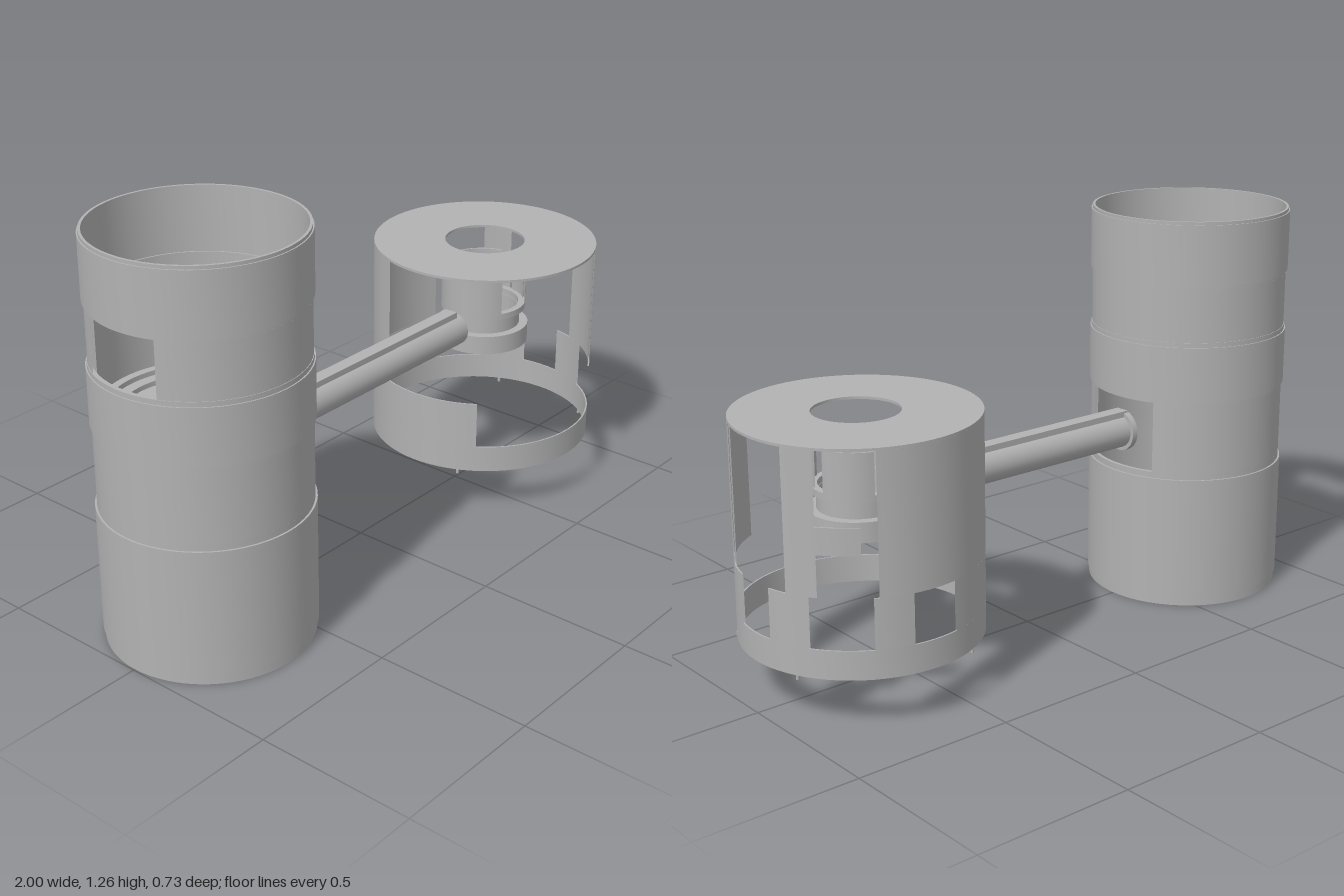
import * as THREE from 'three';
import { toCreasedNormals } from 'three/addons/utils/BufferGeometryUtils.js';

const grey = new THREE.MeshStandardMaterial({ color: 0xb2b2b2, side: THREE.DoubleSide });
grey.name = 'plain grey';
const RAD = Math.PI / 180;

export function createModel() {
  const model = new THREE.Group();

  const add = (parent, name, geometry, x = 0, y = 0, z = 0) => {
    const mesh = new THREE.Mesh(geometry, grey);
    mesh.name = name;
    mesh.position.set(x, y, z);
    parent.add(mesh);
    return mesh;
  };

  // Revolved profile; angles in degrees run from the front (+z) towards +x
  const turn = (parent, name, profile, from = 0, to = 360) => {
    const points = profile.map(([r, y]) => new THREE.Vector2(r, y));
    const segments = Math.max(4, Math.ceil((to - from) / 5));
    const geometry = new THREE.LatheGeometry(points, segments, from * RAD, (to - from) * RAD);
    return add(parent, name, toCreasedNormals(geometry, 0.5));
  };

  // Closed rectangular wall section between two radii
  const wall = (parent, name, inner, outer, y0, y1, from, to) =>
    turn(parent, name, [[inner, y0], [outer, y0], [outer, y1], [inner, y1], [inner, y0]], from, to);

  // Tall stacked canister
  const tower = new THREE.Group();
  tower.name = 'canister';
  tower.position.x = -0.683;
  model.add(tower);
  turn(tower, 'canisterBase', [[0, 0], [0.312, 0], [0.312, 0.03], [0.317, 0.03], [0.317, 0.43], [0.3, 0.43]]);
  wall(tower, 'lowerBand', 0.3, 0.311, 0.43, 0.45);
  wall(tower, 'lowerWindowBand', 0.3, 0.311, 0.45, 0.68, 116, 424);
  wall(tower, 'middleCollar', 0.3, 0.317, 0.69, 0.865);
  wall(tower, 'middleCollarLip', 0.3, 0.313, 0.68, 0.69);
  wall(tower, 'middleCollarTopLip', 0.3, 0.313, 0.865, 0.88);
  wall(tower, 'upperWindowBand', 0.3, 0.311, 0.88, 1.05, -67, 247);
  wall(tower, 'upperBand', 0.3, 0.311, 1.05, 1.06);
  wall(tower, 'topCollar', 0.305, 0.317, 1.06, 1.25);
  wall(tower, 'topRim', 0.305, 0.313, 1.25, 1.26);
  // Stepped floor inside the canister
  turn(tower, 'steppedFloor', [[0.3, 0.72], [0.275, 0.72], [0.275, 0.705], [0.24, 0.705], [0.24, 0.69], [0, 0.69]]);

  // Connecting arm with its flange and top rail
  const arm = new THREE.Group();
  arm.name = 'arm';
  model.add(arm);
  const rod = (name, r, x0, x1) => {
    const mesh = add(arm, name, new THREE.CylinderGeometry(r, r, x1 - x0, 32), (x0 + x1) / 2, 0.56);
    mesh.rotation.z = Math.PI / 2;
  };
  rod('armRod', 0.054, -0.4, 0.48);
  rod('armFlange', 0.066, -0.405, -0.385);
  add(arm, 'armRail', new THREE.BoxGeometry(0.86, 0.05, 0.045), 0.03, 0.603);

  // Round cage
  const cage = new THREE.Group();
  cage.name = 'cage';
  cage.position.x = 0.633;
  model.add(cage);
  const R = 0.363, r = 0.358;
  wall(cage, 'cageLid', 0.13, R, 0.82, 0.828);
  wall(cage, 'cageBottomRing', r, R, 0.16, 0.247);
  for (const [from, to] of [[29, 68.5], [111, 126], [153.5, 249]])
    wall(cage, 'upperPanel', r, R, 0.4, 0.82, from, to);
  for (const [from, to] of [[58, 79], [101, 122], [151, 169], [192, 304.5]])
    wall(cage, 'lowerPanel', r, R, 0.247, 0.4, from, to);
  wall(cage, 'latchTab', r, R, 0.525, 0.605, 126, 146);

  // Small pins under the cage
  for (const [x, z] of [[-0.327, 0.155], [-0.153, -0.325], [0.295, 0.21], [0.325, -0.152]])
    add(cage, 'footPin', new THREE.CylinderGeometry(0.005, 0.005, 0.014, 10), x, 0.154, z);

  // Inner holder at the end of the arm
  const holder = new THREE.Group();
  holder.name = 'innerHolder';
  cage.add(holder);
  wall(holder, 'holderRing', 0.115, 0.15, 0.48, 0.542);
  wall(holder, 'holderNeck', 0.115, 0.122, 0.542, 0.595);
  wall(holder, 'holderCollar', 0.117, 0.139, 0.595, 0.615);
  for (const [from, to] of [[28, 80], [100, 165], [195, 332]])
    wall(holder, 'holderShell', 0.133, 0.139, 0.615, 0.743, from, to);

  return model;
}
